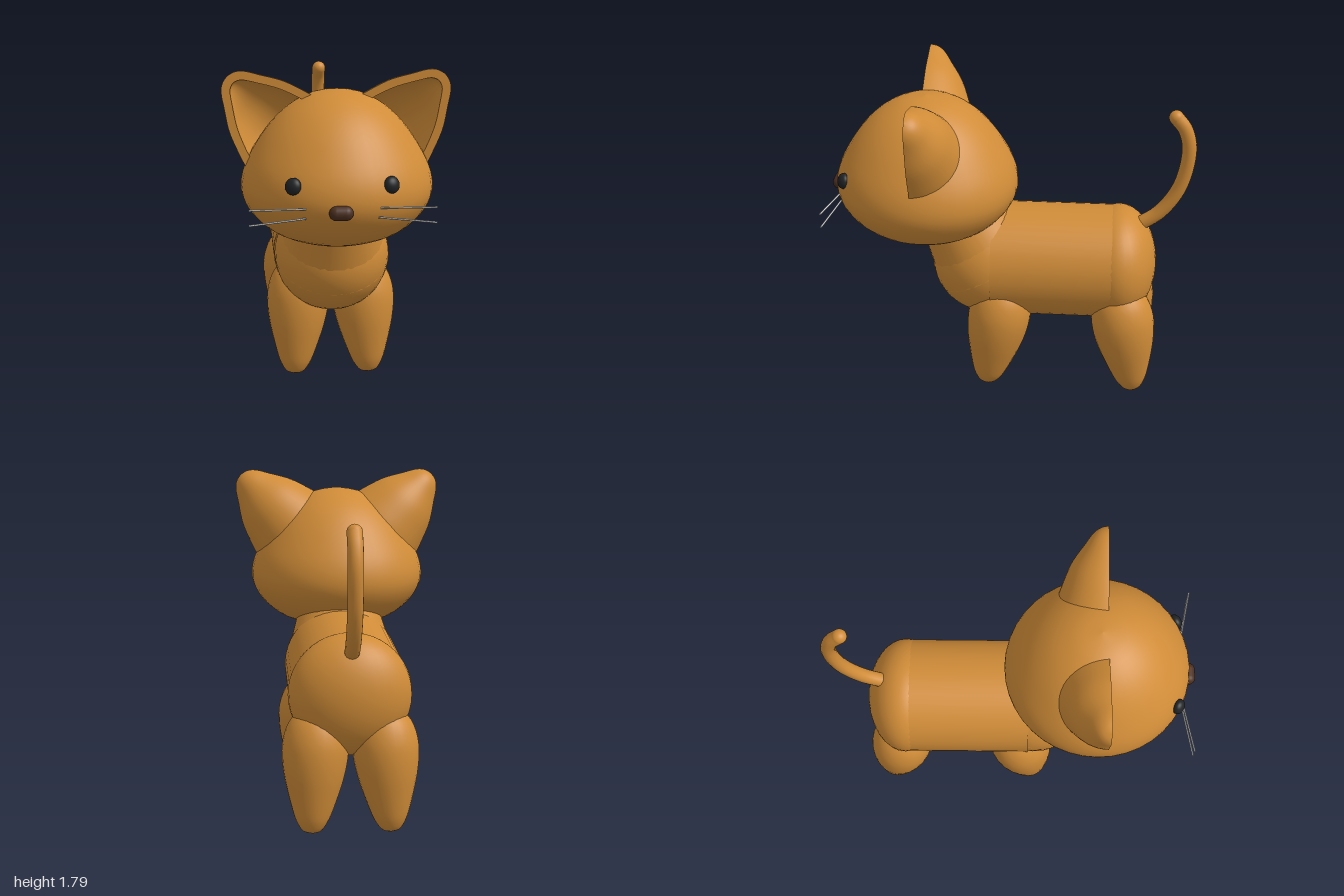
import * as THREE from 'three';

const V2 = (p) => new THREE.Vector2(p[0], p[1]);
const V3 = (p) => new THREE.Vector3(...p);
const fur = new THREE.MeshStandardMaterial({ color: 0xd08c38 });
const furOpen = new THREE.MeshStandardMaterial({ color: 0xd08c38, side: THREE.DoubleSide });
const black = new THREE.MeshStandardMaterial({ color: 0x202224 });
const brown = new THREE.MeshStandardMaterial({ color: 0x4a2e20 });
const grey = new THREE.MeshStandardMaterial({ color: 0xcccccc });

// smooth [radius, height] profile through a few points
const smooth = (pts, n = 28) => {
  const out = new THREE.SplineCurve(pts.map(V2)).getPoints(n);
  out.forEach((p) => { p.x = Math.max(p.x, 0); });
  return out;
};

function mesh(name, geo, mat, pos = [0, 0, 0]) {
  const m = new THREE.Mesh(geo, mat);
  m.name = name;
  m.position.set(...pos);
  return m;
}

function ellipsoid(name, mat, pos, radii) {
  const m = mesh(name, new THREE.SphereGeometry(1, 32, 24), mat, pos);
  m.scale.set(...radii);
  return m;
}

// turn a y-axis part so that it runs from a towards b
function aim(m, a, b) {
  const dir = V3(b).sub(V3(a)).normalize();
  m.position.copy(V3(a));
  m.quaternion.setFromUnitVectors(new THREE.Vector3(0, 1, 0), dir);
  return m;
}

// tapered rod between two points
function rod(name, mat, a, b, r0, r1, sides) {
  const len = V3(a).distanceTo(V3(b));
  const geo = new THREE.CylinderGeometry(r1, r0, len, sides).translate(0, len / 2, 0);
  return aim(mesh(name, geo, mat), a, b);
}

// spindle-shaped leg from foot to hip
function leg(name, foot, hip) {
  const profile = smooth([[0, 0], [0.045, 0.012], [0.075, 0.05], [0.098, 0.1], [0.13, 0.2],
    [0.157, 0.3], [0.173, 0.4], [0.172, 0.49], [0.145, 0.58], [0.085, 0.65], [0, 0.68]], 30);
  return aim(mesh(name, new THREE.LatheGeometry(profile, 28), fur), foot, hip);
}

// hollow half-cone ear with a flat front rim
function ear(name, s) {
  const g = new THREE.Group();
  g.name = name;
  const outer = smooth([[0.262, -0.06], [0.235, 0.03], [0.19, 0.15], [0.125, 0.255],
    [0.083, 0.32], [0.045, 0.353], [0, 0.365]]);
  const inner = smooth([[0.215, -0.06], [0.19, 0.03], [0.145, 0.14], [0.083, 0.24],
    [0.045, 0.295], [0.02, 0.313], [0, 0.318]]);
  const half = (pts) => new THREE.LatheGeometry(pts, 24, Math.PI / 2, Math.PI);
  const flip = (pts) => pts.map((p) => new THREE.Vector2(-p.x, p.y));
  const rim = new THREE.Shape([
    ...outer, ...flip(outer).reverse().slice(1),
    ...flip(inner), ...inner.slice(0, -1).reverse(),
  ]);
  g.add(
    mesh('earShell', half(outer), furOpen),
    mesh('earHollow', half(inner.slice().reverse()), furOpen),
    mesh('earRim', new THREE.ShapeGeometry(rim), furOpen),
  );
  g.position.set(s * 0.31 - 0.003, 1.5, 0.5);
  g.rotation.z = -s * 0.75;
  return g;
}

export function createModel() {
  const model = new THREE.Group();
  model.name = 'cat';

  // head, round from above and egg-shaped from the side
  const headProfile = smooth([[0, 0.88], [0.09, 0.883], [0.2, 0.905], [0.33, 0.955], [0.425, 1.03],
    [0.483, 1.115], [0.5, 1.2], [0.478, 1.3], [0.42, 1.41], [0.345, 1.515], [0.25, 1.605],
    [0.13, 1.67], [0, 1.693]], 36);
  model.add(mesh('head', new THREE.LatheGeometry(headProfile, 40), fur, [0, 0, 0.465]));

  // trunk, rump, chest and neck
  const trunk = mesh('trunk', new THREE.CylinderGeometry(0.32, 0.32, 0.7, 40), fur, [0, 0.72, -0.25]);
  trunk.rotation.x = Math.PI / 2;
  model.add(
    trunk,
    ellipsoid('rump', fur, [0, 0.72, -0.6], [0.325, 0.325, 0.215]),
    ellipsoid('chest', fur, [0, 0.72, 0.13], [0.317, 0.317, 0.317]),
    rod('neck', fur, [0, 0.72, 0.13], [0, 1.0, 0.3], 0.317, 0.23, 40),
  );

  // paired parts
  for (const [side, s] of [['left', 1], ['right', -1]]) {
    model.add(
      leg(side + 'FrontLeg', [s * 0.21, 0.01, 0.13], [s * 0.17, 0.67, 0.02]),
      leg(side + 'BackLeg', [s * 0.21, 0, -0.71], [s * 0.17, 0.68, -0.6]),
      ear(side + 'Ear', s),
    );
    const eye = ellipsoid(side + 'Eye', black, [s * 0.243 - 0.006, 1.28, 0.89], [0.042, 0.043, 0.03]);
    eye.rotation.set(-0.25, s * 0.5, 0, 'YXZ');
    model.add(eye);
    // two whiskers fanning outwards
    for (const [y0, y1] of [[1.172, 1.185], [1.125, 1.108]]) {
      model.add(rod(side + 'Whisker', grey, [s * 0.18 - 0.01, y0, 0.925],
        [s * 0.46 - 0.008, y1, 0.98], 0.005, 0.005, 8));
    }
  }

  // nose
  const nose = mesh('nose', new THREE.CapsuleGeometry(0.037, 0.046, 8, 20), brown, [-0.018, 1.158, 0.963]);
  nose.rotation.z = Math.PI / 2;
  model.add(nose);

  // curved tail with rounded ends
  const path = [[0, 0.95, -0.7], [0, 1.04, -0.82], [0, 1.2, -0.922], [0, 1.42, -0.96],
    [0, 1.54, -0.93], [0, 1.605, -0.88]];
  const curve = new THREE.CatmullRomCurve3(path.map(V3));
  model.add(
    mesh('tail', new THREE.TubeGeometry(curve, 40, 0.04, 16), fur),
    ellipsoid('tailTip', fur, path[5], [0.04, 0.04, 0.04]),
    ellipsoid('tailBase', fur, path[0], [0.04, 0.04, 0.04]),
  );

  return model;
}
